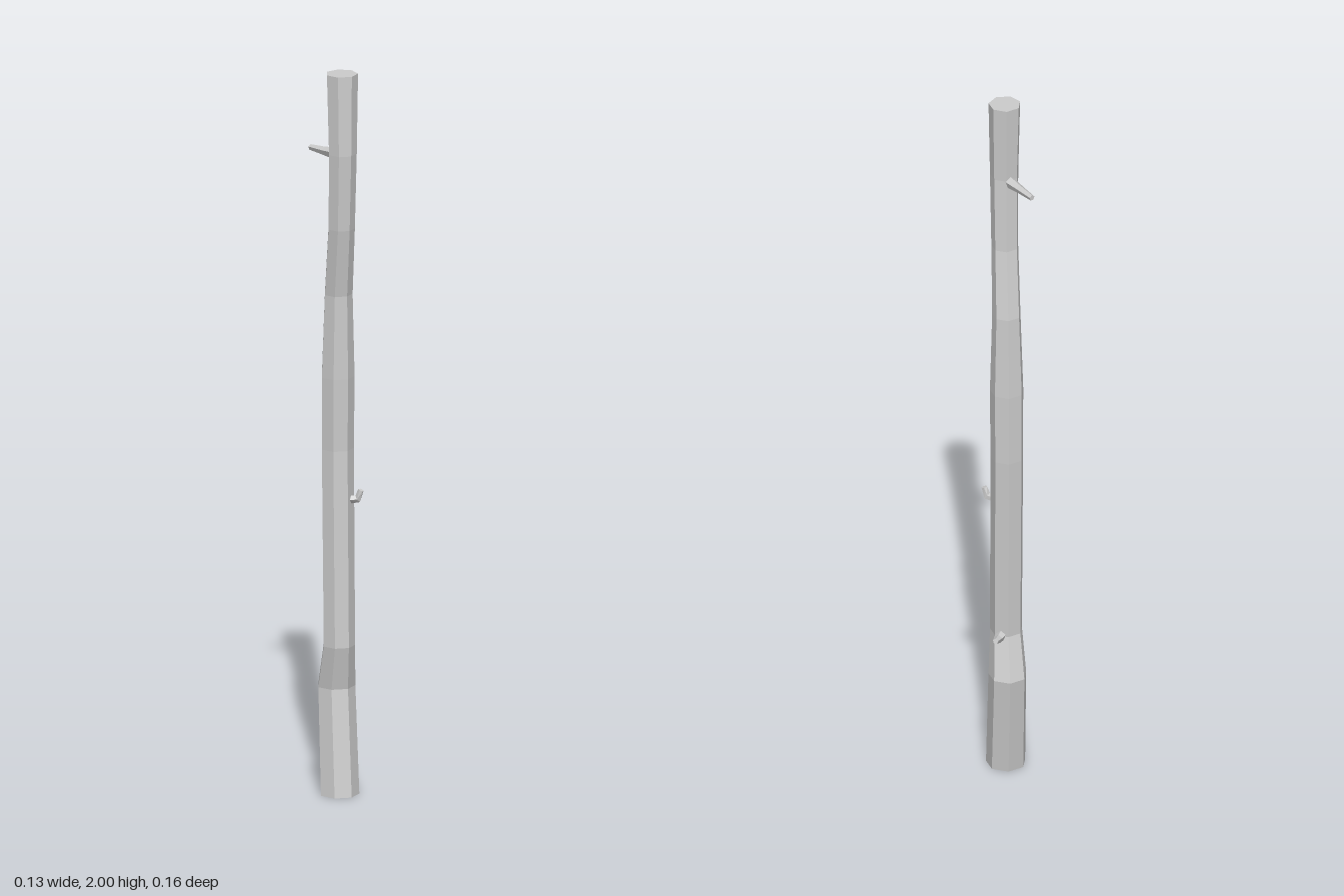
import * as THREE from 'three';

const V = (x, y, z) => new THREE.Vector3(x, y, z);

// Capped polygonal limb through rings [x, y, z, radius]; the first corner points along hint.
function limb(name, rings, sides, hint, material, dir) {
  const centres = rings.map(([x, y, z]) => V(x, y, z));
  const loops = rings.map((ring, i) => {
    const last = rings.length - 1;
    const d = dir ? dir.clone()
      : centres[Math.min(i + 1, last)].clone().sub(centres[Math.max(i - 1, 0)]).normalize();
    const u = hint.clone().addScaledVector(d, -hint.dot(d)).normalize();
    const v = d.clone().cross(u);
    return Array.from({ length: sides }, (_, j) => {
      const a = (j / sides) * Math.PI * 2;
      return centres[i].clone()
        .addScaledVector(u, Math.cos(a) * ring[3])
        .addScaledVector(v, Math.sin(a) * ring[3]);
    });
  });

  const points = [];
  const end = loops.length - 1;
  for (let j = 0; j < sides; j++) {
    const k = (j + 1) % sides;
    for (let i = 0; i < end; i++) {
      const a = loops[i][j], b = loops[i][k], c = loops[i + 1][k], d = loops[i + 1][j];
      points.push(a, b, c, a, c, d);
    }
    points.push(centres[0], loops[0][k], loops[0][j]);
    points.push(centres[end], loops[end][j], loops[end][k]);
  }
  const geometry = new THREE.BufferGeometry().setFromPoints(points);
  geometry.computeVertexNormals();
  const mesh = new THREE.Mesh(geometry, material);
  mesh.name = name;
  return mesh;
}

export function createModel() {
  const group = new THREE.Group();
  group.name = 'woodenStaff';
  const wood = new THREE.MeshStandardMaterial({ color: 0xcccccc, flatShading: true });
  const up = V(0, 1, 0);

  // Crooked seven-sided shaft with level rings
  group.add(limb('shaft', [
    [0, 0, 0.010, 0.054],
    [0, 0.29, -0.029, 0.052],
    [0, 0.41, 0.004, 0.044],
    [0, 0.95, -0.015, 0.045],
    [0, 1.15, -0.011, 0.046],
    [0, 1.38, -0.003, 0.039],
    [0, 1.57, 0.033, 0.037],
    [0, 1.78, 0.047, 0.039],
    [0, 2, 0.041, 0.0437],
  ], 7, V(0, 0, -1), wood, up));

  // Long tapering twig near the top
  group.add(limb('upperTwig', [
    [-0.006, 1.774, 0.026, 0.018],
    [-0.032, 1.772, -0.020, 0.012],
    [-0.060, 1.771, -0.072, 0.008],
  ], 5, up, wood));

  // Short upturned stub on the left side
  group.add(limb('middleStub', [
    [0.025, 0.812, 0.006, 0.013],
    [0.050, 0.815, 0.018, 0.011],
    [0.057, 0.840, 0.023, 0.008],
  ], 5, V(0.3, 0.6, -0.7), wood));

  // Small stub at the back above the lower bend
  group.add(limb('lowerStub', [
    [0.012, 0.412, -0.018, 0.016],
    [0.028, 0.411, -0.048, 0.012],
    [0.038, 0.418, -0.073, 0.008],
  ], 5, up, wood));

  return group;
}
